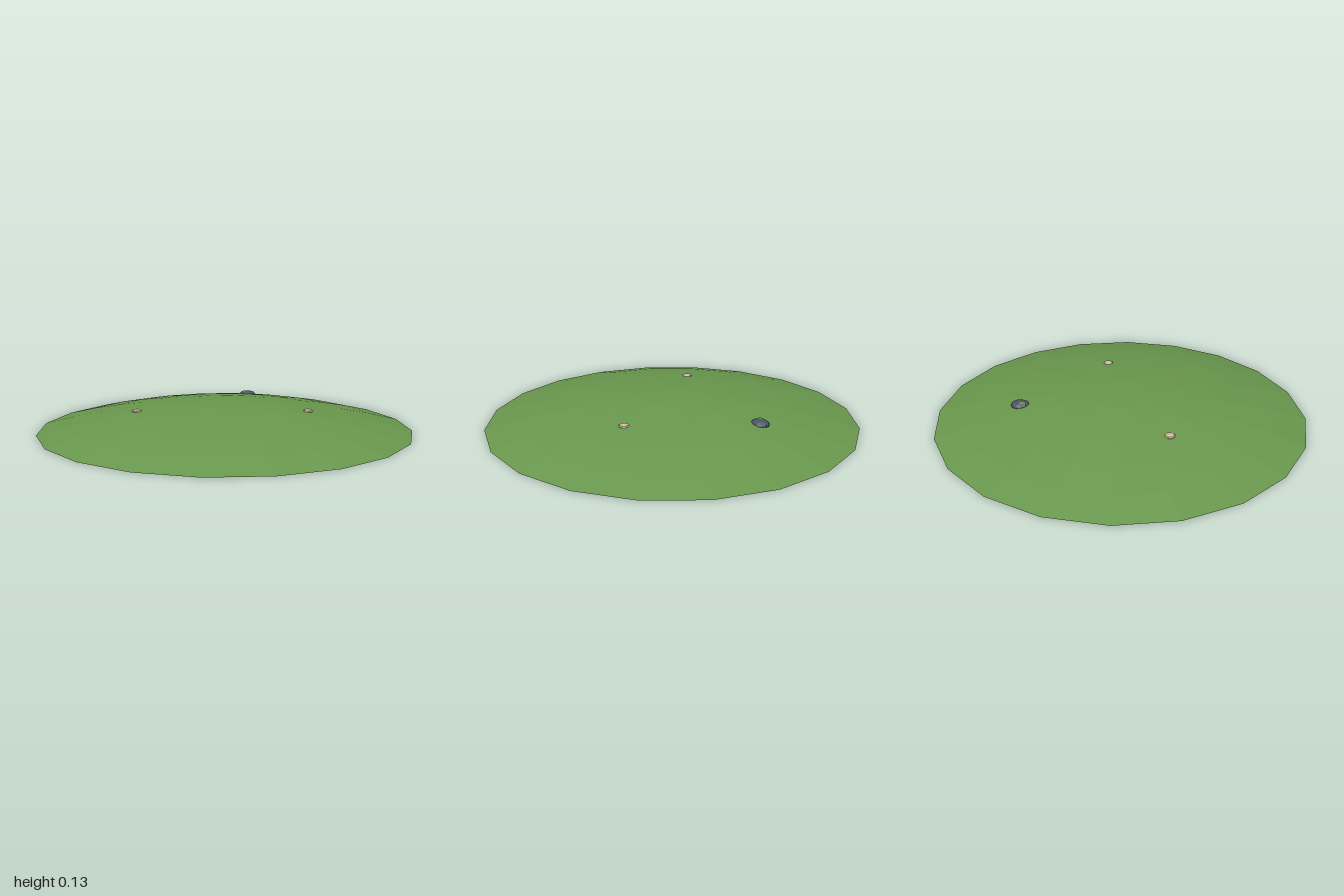
import * as THREE from 'three';

const CAP_HEIGHT = 0.132;
const RADIUS = (1 + CAP_HEIGHT ** 2) / (2 * CAP_HEIGHT); // sphere the mound is cut from

export function createModel() {
  const material = (name, color, extra = {}) => {
    const m = new THREE.MeshStandardMaterial({ color, flatShading: true, ...extra });
    m.name = name;
    return m;
  };
  const grass = material('grass green', 0x6a994e, { side: THREE.DoubleSide });
  const moss = material('moss green', 0x6b8f47);
  const stone = material('slate stone', 0x4a5568);
  const sand = material('pale pebble', 0xcbb89a);

  const group = new THREE.Group();
  group.name = 'grassyMound';

  // Open shell: shallow spherical cap with twenty sides
  const cap = new THREE.SphereGeometry(RADIUS, 20, 6, 0, Math.PI * 2, 0, Math.asin(1 / RADIUS));
  cap.translate(0, CAP_HEIGHT - RADIUS, 0);
  const mound = new THREE.Mesh(cap, grass);
  mound.name = 'mound';
  group.add(mound);

  // Flattened low-poly stones half sunk into the mound
  const addStone = (name, mat, pos, size, segments, rings) => {
    const mesh = new THREE.Mesh(new THREE.SphereGeometry(1, segments, rings), mat);
    mesh.name = name;
    mesh.position.set(...pos);
    mesh.scale.set(...size);
    group.add(mesh);
  };
  addStone('rock', stone, [0.482, 0.09, -0.245], [0.052, 0.023, 0.046], 12, 8);
  addStone('mossPatch', moss, [0.467, 0.102, -0.256], [0.026, 0.011, 0.022], 10, 6);
  addStone('backPebble', sand, [-0.37, 0.102, -0.297], [0.028, 0.013, 0.028], 8, 6);
  addStone('frontPebble', sand, [0.225, 0.104, 0.388], [0.028, 0.013, 0.028], 8, 6);

  return group;
}
